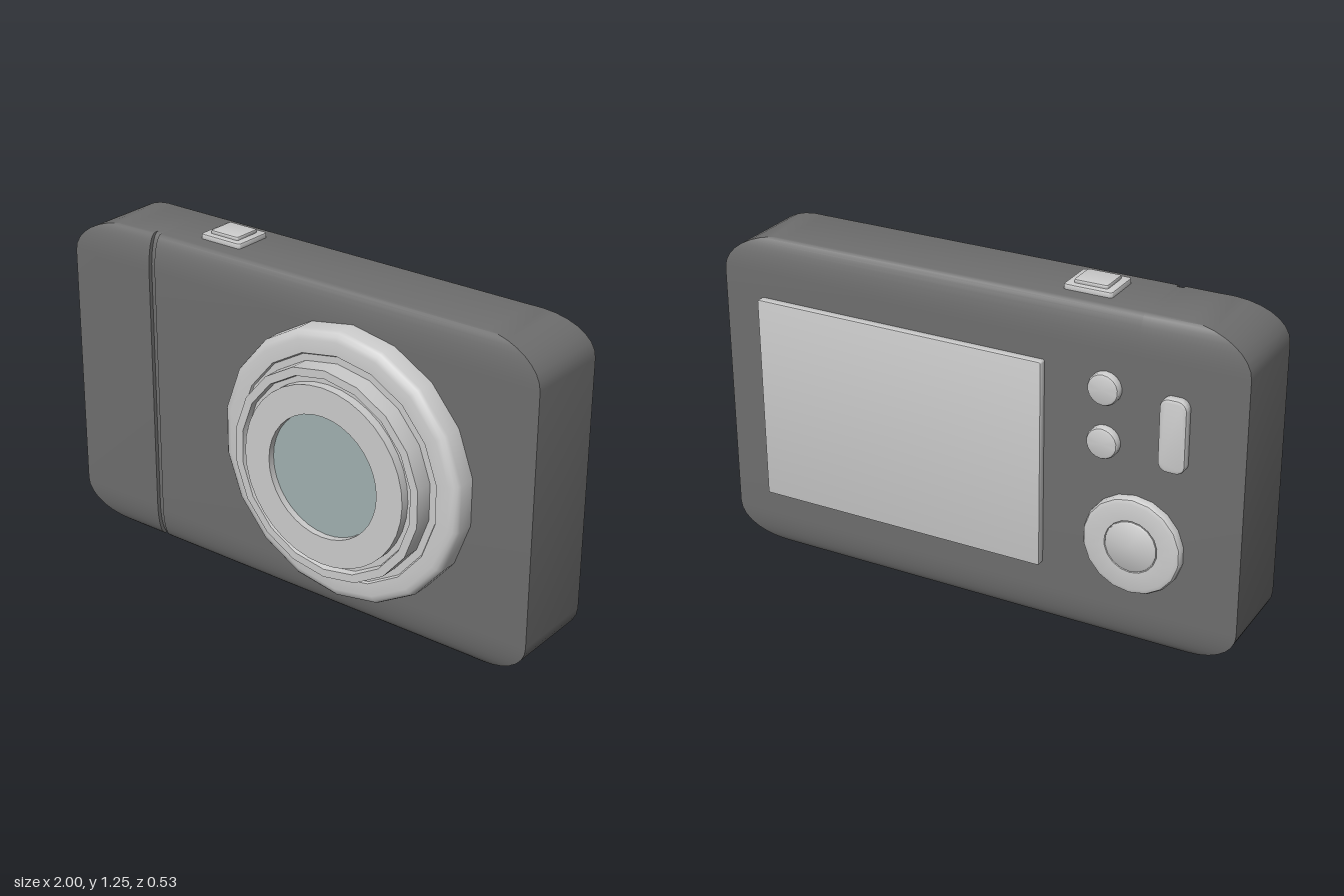
import * as THREE from 'three';
import { toCreasedNormals } from 'three/addons/utils/BufferGeometryUtils.js';

const BACK = -0.232, TOP = 1.22;
const grey = new THREE.MeshStandardMaterial({ color: 0xcccccc });
const dark = new THREE.MeshStandardMaterial({ color: 0x6e6e6e });
const glassTint = new THREE.MeshStandardMaterial({ color: 0xa0b0b0 });

function addMesh(parent, name, geometry, material = grey) {
  const mesh = new THREE.Mesh(toCreasedNormals(geometry, 0.65), material);
  mesh.name = name;
  parent.add(mesh);
  return mesh;
}

// Turned part from [radius, height] points; dir 1 faces the front, -1 the back
function turned(points, sides, dir) {
  const profile = points.map(([r, h]) => new THREE.Vector2(r, h));
  return new THREE.LatheGeometry(profile, sides).rotateX(dir * Math.PI / 2);
}

// Rounded plate with a bevelled face, lying in xy and rising along +z
function plate(w, h, depth, radius, bevel) {
  const x = w / 2 - bevel, y = h / 2 - bevel, r = Math.max(radius - bevel, 0.001);
  const s = new THREE.Shape();
  s.absarc(x - r, y - r, r, 0, Math.PI / 2);
  s.absarc(-x + r, y - r, r, Math.PI / 2, Math.PI);
  s.absarc(-x + r, -y + r, r, Math.PI, Math.PI * 1.5);
  s.absarc(x - r, -y + r, r, Math.PI * 1.5, Math.PI * 2);
  return new THREE.ExtrudeGeometry(s, {
    depth: depth - bevel, bevelSize: bevel, bevelThickness: bevel, bevelSegments: 2, curveSegments: 5,
  });
}

// Body: stacked rectangles shrinking by an elliptical rule at top and bottom,
// with narrow columns pushed in to form the front groove
function bodyGeometry() {
  const n = 8, rows = 2 * n + 1;
  const columns = [0, -0.641, -0.64, -0.615, -0.614, 0];
  const geo = new THREE.BoxGeometry(5, rows, 1, 5, rows, 1);
  const p = geo.attributes.position;
  for (let i = 0; i < p.count; i++) {
    const col = Math.round(p.getX(i) + 2.5);
    const row = Math.round(p.getY(i) + rows / 2);
    const k = Math.min(row, rows - row);
    const a = (k / n) * Math.PI / 2;
    const inset = 1 - Math.sin(a), rise = 0.14 * (1 - Math.cos(a));
    const halfW = 1 - 0.23 * inset;
    const x = col === 0 ? -halfW : col === 5 ? halfW : columns[col];
    const front = p.getZ(i) > 0;
    let z = front ? 0.102 - 0.04 * inset : BACK + 0.04 * inset;
    if (front && (col === 2 || col === 3)) z -= 0.014;
    p.setXYZ(i, x, row <= n ? rise : TOP - rise, z);
  }
  return geo;
}

export function createModel() {
  const camera = new THREE.Group();
  camera.name = 'compactCamera';
  addMesh(camera, 'body', bodyGeometry(), dark);

  // Lens
  const lens = new THREE.Group();
  lens.name = 'lens';
  lens.position.set(0.27, 0.613, 0);
  camera.add(lens);
  addMesh(lens, 'lensBaseRing', turned([
    [0.502, 0.09], [0.502, 0.165], [0.497, 0.178], [0.486, 0.188], [0.468, 0.193],
    [0.42, 0.193], [0.415, 0.185], [0.3, 0.185]], 18, 1));
  addMesh(lens, 'lensBarrel', turned([
    [0.39, 0.18], [0.39, 0.255], [0.36, 0.255], [0.355, 0.235], [0.32, 0.235]], 18, 1));
  addMesh(lens, 'lensInnerRing', turned([
    [0.333, 0.23], [0.333, 0.268], [0.228, 0.268], [0.228, 0.24]], 36, 1));
  const glass = addMesh(lens, 'lensGlass', new THREE.CircleGeometry(0.23, 36), glassTint);
  glass.position.z = 0.243;

  // Shutter button on top
  const shutter = new THREE.Group();
  shutter.name = 'shutterButton';
  shutter.position.set(-0.384, TOP - 0.005, -0.068);
  camera.add(shutter);
  addMesh(shutter, 'shutterBase', plate(0.178, 0.155, 0.024, 0.012, 0.006).rotateX(-Math.PI / 2));
  const cap = addMesh(shutter, 'shutterCap', plate(0.125, 0.11, 0.014, 0.01, 0.007).rotateX(-Math.PI / 2));
  cap.position.y = 0.023;

  // Screen and controls on the back
  const screen = addMesh(camera, 'screen', plate(1.125, 0.77, 0.03, 0.008, 0.005).rotateY(Math.PI));
  screen.position.set(0.288, 0.61, BACK);

  for (const y of [0.945, 0.75]) {
    const button = addMesh(camera, 'roundButton', turned([
      [0.058, -0.01], [0.058, 0.02], [0.054, 0.027], [0.046, 0.03], [0, 0.03]], 18, -1));
    button.position.set(-0.5, y, BACK);
  }

  const slider = addMesh(camera, 'zoomRocker', plate(0.098, 0.265, 0.032, 0.035, 0.01).rotateY(Math.PI));
  slider.position.set(-0.752, 0.835, BACK);

  const dial = addMesh(camera, 'controlDial', turned([
    [0.182, -0.01], [0.182, 0.018], [0.176, 0.028], [0.162, 0.033],
    [0.098, 0.03], [0.096, 0.026], [0.09, 0.026]], 18, -1));
  dial.position.set(-0.618, 0.393, BACK);
  const dialButton = addMesh(camera, 'dialCentreButton', turned([
    [0.094, 0], [0.094, 0.03], [0.088, 0.034], [0, 0.034]], 18, -1));
  dialButton.position.copy(dial.position);

  return camera;
}
